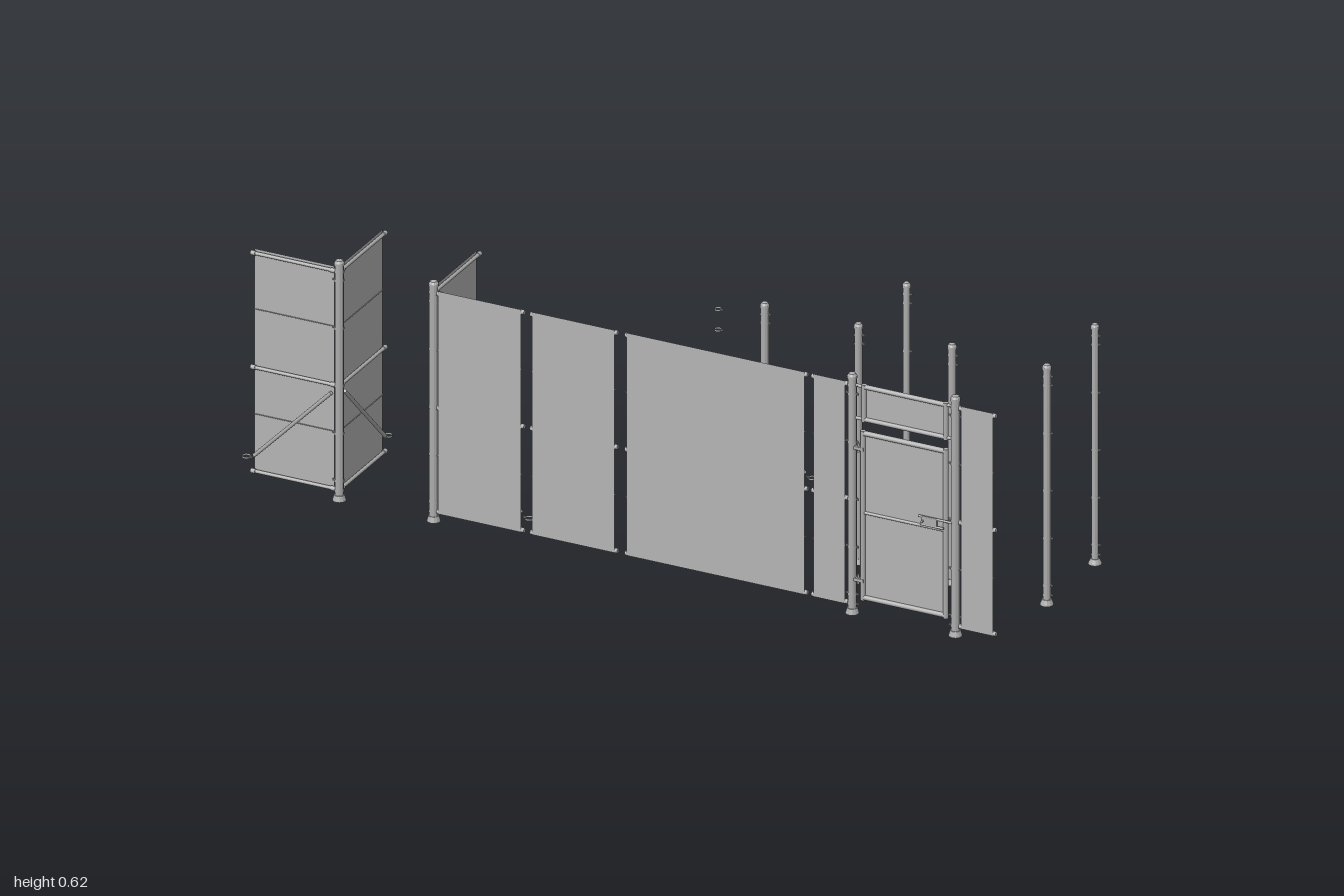
import * as THREE from 'three';

const FRONT = 0.25, BACK = -0.244, MIDZ = 0.003;

export function createModel() {
  const root = new THREE.Group();
  root.name = 'fenceKit';

  const mesh = new THREE.MeshStandardMaterial({ color: 0xb4b4b4, side: THREE.DoubleSide });
  mesh.name = 'fence mesh grey';
  const steel = new THREE.MeshStandardMaterial({ color: 0xadadad, side: THREE.DoubleSide });
  steel.name = 'galvanised steel';

  const add = (parent, name, geo, mat = steel) => {
    const m = new THREE.Mesh(geo, mat);
    m.name = name;
    parent.add(m);
    return m;
  };

  // Round bar between two points
  const bar = (parent, name, a, b, r, sides = 10) => {
    const p = new THREE.Vector3(...a), q = new THREE.Vector3(...b);
    const d = q.clone().sub(p);
    const m = add(parent, name, new THREE.CylinderGeometry(r, r, d.length(), sides));
    m.position.copy(p).add(q).multiplyScalar(0.5);
    m.quaternion.setFromUnitVectors(new THREE.Vector3(0, 1, 0), d.normalize());
    return m;
  };

  // Clamp ring with a bolt; angle turns the bolt around the post
  const band = (parent, x, y, z, r, angle = 0) => {
    const g = new THREE.Group();
    g.name = 'clampBand';
    add(g, 'ring', new THREE.CylinderGeometry(r, r, 0.005, 12, 1, true));
    add(g, 'lug', new THREE.BoxGeometry(0.007, 0.004, 0.003)).position.x = r + 0.002;
    bar(g, 'bolt', [r + 0.003, 0, -0.005], [r + 0.003, 0, 0.005], 0.001, 6);
    g.position.set(x, y, z);
    g.rotation.y = angle;
    parent.add(g);
  };

  // Post with foot flange, collar and domed cap
  const post = (name, x, z, r = 0.0095, angles = [0, Math.PI]) => {
    const g = new THREE.Group();
    g.name = name;
    const profile = [[0, 0], [0.0165, 0], [0.0155, 0.004], [r + 0.002, 0.014], [r, 0.014],
      [r, 0.606], [r + 0.0015, 0.606], [r + 0.0015, 0.613], [r - 0.002, 0.619], [0, 0.622]];
    const pts = profile.map(p => new THREE.Vector2(...p));
    const body = new THREE.LatheGeometry(pts, 12).toNonIndexed();
    body.computeVertexNormals();
    add(g, 'postBody', body);
    [0.025, 0.05, 0.172, 0.295, 0.443, 0.567, 0.59].forEach(y =>
      angles.forEach(a => band(g, 0, y, 0, r + 0.0012, a)));
    g.position.set(x, 0, z);
    root.add(g);
  };

  // Mesh panel with rails, wires and an optional brace ('start' or 'end' is the high side)
  const panel = (name, x, z, length, turn, brace) => {
    const g = new THREE.Group();
    g.name = name;
    add(g, 'meshSheet', new THREE.PlaneGeometry(length, 0.575), mesh).position.set(length / 2, 0.31, 0.006);
    for (const y of [0.026, 0.294, 0.589]) {
      bar(g, 'rail', [0, y, 0], [length, y, 0], 0.0045);
      for (const [a, b] of [[-0.006, 0.006], [length - 0.006, length + 0.006]])
        bar(g, 'railCup', [a, y, 0], [b, y, 0], 0.006);
    }
    for (const y of [0.172, 0.443]) bar(g, 'tensionWire', [-0.006, y, 0.004], [length + 0.006, y, 0.004], 0.0011, 6);
    if (brace) {
      const hi = brace === 'start' ? 0.004 : length - 0.004;
      const lo = length - hi;
      const out = brace === 'start' ? length + 0.018 : -0.018;
      bar(g, 'braceRod', [hi, 0.274, -0.004], [lo, 0.068, -0.004], 0.0048);
      band(g, out, 0.06, 0, 0.0105, brace === 'start' ? Math.PI : 0);
    }
    g.position.set(x, 0, z);
    g.rotation.y = turn;
    root.add(g);
  };

  // Panels along the front run
  panel('frontPanelFarRight', -0.76, FRONT, 0.21, Math.PI, 'start');
  panel('frontPanelCorner', -0.484, FRONT, 0.218, 0, 'start');
  panel('frontPanelNarrow', -0.238, FRONT, 0.216, 0);
  panel('frontPanelWide', 0.01, FRONT, 0.465, 0);
  panel('gateSidePanelRight', 0.498, FRONT, 0.083, 0);
  panel('gateSidePanelLeft', 0.884, FRONT, 0.084, 0);

  // Return panels running backwards from the corner posts
  panel('returnPanelOuter', -0.745, 0.018, 0.217, -Math.PI / 2, 'end');
  panel('returnPanelInner', -0.498, 0.018, 0.217, -Math.PI / 2, 'end');

  // Corner posts, gate posts and free-standing posts
  post('cornerPostOuter', -0.745, FRONT, 0.0105, [Math.PI, Math.PI / 2]);
  post('cornerPostInner', -0.498, FRONT, 0.0105, [0, Math.PI / 2]);
  post('gatePostRight', 0.597, FRONT, 0.0105);
  post('gatePostLeft', 0.867, FRONT, 0.0105);
  for (const x of [0.242, 0.487, 0.732, 0.98]) post('loosePostMiddle', x, MIDZ, 0.0095, [0, Math.PI / 2]);
  for (const x of [0.487, 0.98]) post('loosePostBack', x, BACK, 0.0085, [0, Math.PI / 2]);

  // Loose brace with its clamp bands
  const loose = new THREE.Group();
  loose.name = 'looseBrace';
  bar(loose, 'braceRod', [0.014, 0.274, BACK], [0.222, 0.068, BACK], 0.0048);
  [0.05, 0.09, 0.172, 0.22, 0.295, 0.39, 0.443].forEach(y => band(loose, -0.006, y, BACK, 0.0085, 0));
  band(loose, 0.24, 0.06, BACK, 0.0095, Math.PI);
  root.add(loose);

  // Tube frame with a mesh sheet and optional cross rail
  const framed = (name, x0, x1, y0, y1, r, cross) => {
    const g = new THREE.Group();
    g.name = name;
    const z = FRONT;
    for (const x of [x0, x1]) bar(g, 'frameUpright', [x, y0 - r, z], [x, y1 + r, z], r);
    for (const y of cross ? [y0, cross, y1] : [y0, y1]) bar(g, 'frameRail', [x0, y, z], [x1, y, z], y === cross ? 0.004 : r);
    add(g, 'meshSheet', new THREE.PlaneGeometry(x1 - x0, y1 - y0), mesh)
      .position.set((x0 + x1) / 2, (y0 + y1) / 2, z);
    root.add(g);
    return g;
  };
  const transom = framed('gateTransom', 0.628, 0.842, 0.506, 0.59, 0.006);
  for (const y of [0.506, 0.59]) {
    bar(transom, 'transomLink', [0.606, y, FRONT], [0.628, y, FRONT], 0.004);
    bar(transom, 'transomLink', [0.842, y, FRONT], [0.858, y, FRONT], 0.004);
  }
  const gate = framed('gate', 0.625, 0.842, 0.046, 0.47, 0.0065, 0.265);

  // Hinges on the gate
  for (const y of [0.09, 0.43]) {
    bar(gate, 'hingePin', [0.613, y - 0.012, FRONT], [0.613, y + 0.012, FRONT], 0.003, 8);
    add(gate, 'hingeStrap', new THREE.BoxGeometry(0.028, 0.008, 0.014)).position.set(0.615, y, FRONT);
  }

  // Latch plate, bolt and handle on both faces
  for (const s of [-1, 1]) {
    const z = FRONT + s * 0.009;
    bar(gate, 'latchBolt', [0.775, 0.293, z], [0.862, 0.293, z], 0.003, 8);
    bar(gate, 'latchBar', [0.78, 0.273, z], [0.84, 0.273, z], 0.003, 8);
    add(gate, 'latchPlate', new THREE.BoxGeometry(0.04, 0.024, 0.005)).position.set(0.803, 0.283, z);
    bar(gate, 'latchHandle', [0.787, 0.283, z], [0.787, 0.283, z + s * 0.008], 0.003, 8);
  }
  return root;
}
